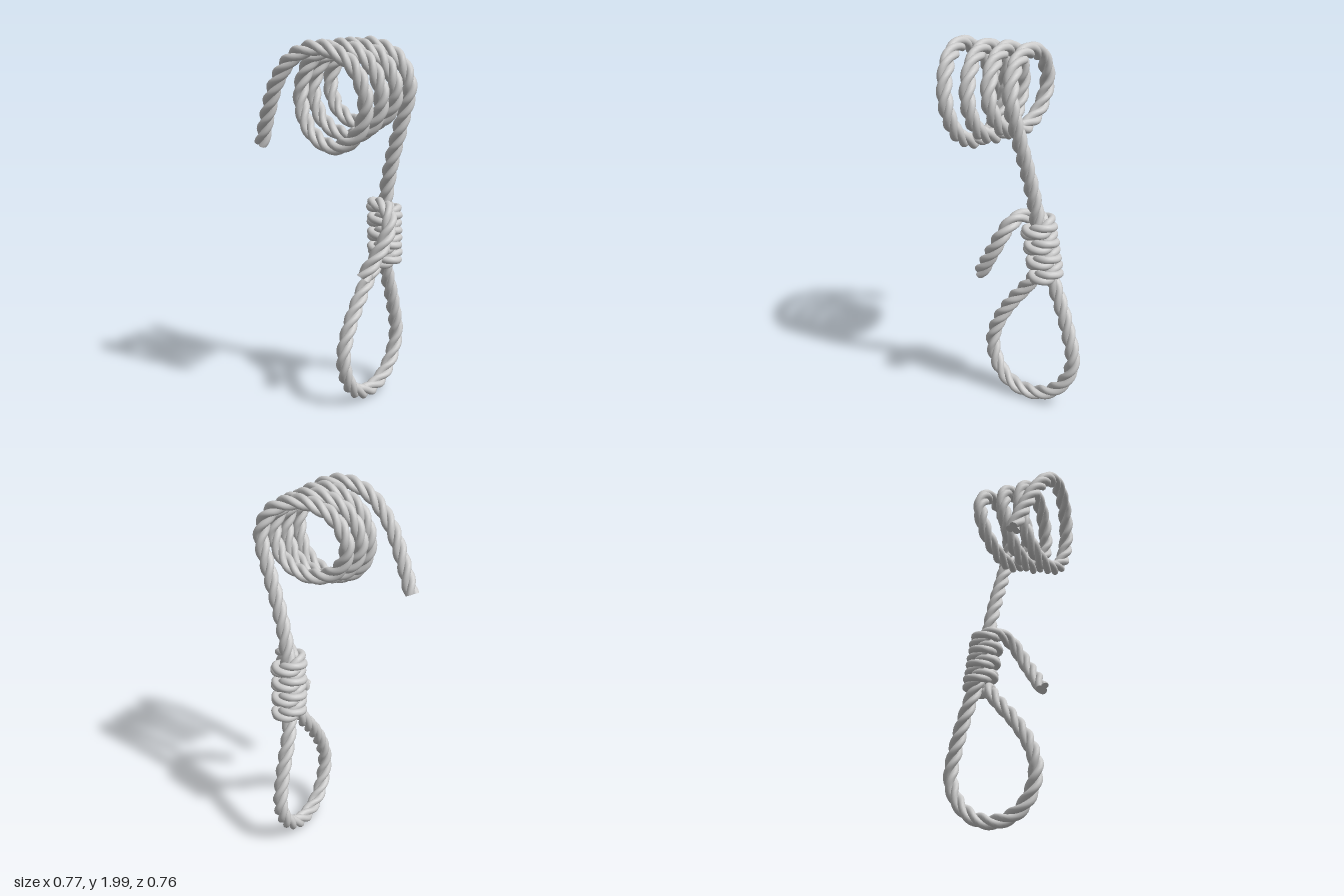
import * as THREE from 'three';

const STRANDS = 3, SIDES = 12, STEPS = 1300;
const STRAND_R = 0.0215, OFFSET = 0.02, PITCH = 0.26;
const lerp = THREE.MathUtils.lerp;
const V = (x, y, z) => new THREE.Vector3(x, y, z);

// Centreline of the whole rope, from the free end of the coil to the short tail at the knot
function ropePath() {
  const pts = [V(-0.35, 1.44, 0.26), V(-0.28, 1.60, 0.29), V(-0.18, 1.78, 0.325), V(-0.05, 1.91, 0.342)];

  // Coil: clockwise from the front, stepping backwards, bottoms rising a little each turn
  const zKeys = [0.335, 0.28, 0.24, 0.20, 0.185, 0.15, 0.12, 0.10, 0.065, 0.03, -0.01, -0.045, -0.06, -0.09];
  for (let i = 0; i <= 26; i++) {
    const a = i * Math.PI / 4, k = Math.floor(i / 2);
    const z = i % 2 ? lerp(zKeys[k], zKeys[k + 1], 0.5) : zKeys[k];
    const bottom = 1.465 + 0.043 * Math.max(0, (i - 4) / 8);
    const mid = (1.957 + bottom) / 2, ry = (1.957 - bottom) / 2;
    pts.push(V(0.105 + 0.234 * Math.sin(a), mid + ry * Math.cos(a), z));
  }

  // Standing part down through the knot, then round the loop
  pts.push(V(0.285, 1.56, -0.105), V(0.225, 1.38, -0.12), V(0.175, 1.18, -0.138), V(0.155, 1.0, -0.155), V(0.13, 0.83, -0.19));
  const loop = [[0.70, -0.235], [0.50, -0.30], [0.30, -0.335], [0.16, -0.28], [0.075, -0.18], [0.05, -0.06],
    [0.09, 0.06], [0.19, 0.135], [0.32, 0.16], [0.45, 0.12], [0.58, 0.04], [0.69, -0.05]];
  for (const [y, z] of loop) pts.push(V(0.115, y, z));

  // Wraps of the knot, climbing around the standing part
  const n = 32;
  for (let i = 0; i <= n; i++) {
    const t = i / n, a = t * 8 * Math.PI, r = 0.062;
    pts.push(V(lerp(0.138, 0.16, t) + r * Math.sin(a), lerp(0.785, 1.12, t), lerp(-0.185, -0.142, t) + r * Math.cos(a)));
  }

  // Short tail hanging forward from the top of the knot
  pts.push(V(0.235, 1.115, -0.05), V(0.285, 1.05, -0.01), V(0.29, 0.96, 0.04), V(0.265, 0.86, 0.105), V(0.235, 0.78, 0.155));
  const curve = new THREE.CatmullRomCurve3(pts, false, 'centripetal');
  curve.arcLengthDivisions = 3000;
  return curve;
}

// One strand: a circle swept beside the centreline and turning steadily about it
function strandGeometry(centres, frames, length, phase) {
  const pos = [], idx = [];
  const addRing = (i) => {
    const N = frames.normals[i], B = frames.binormals[i];
    const a = phase + (i / STEPS) * length / PITCH * 2 * Math.PI;
    for (let j = 0; j < SIDES; j++) {
      const b = a + j / SIDES * 2 * Math.PI;
      const u = OFFSET * Math.cos(a) + STRAND_R * Math.cos(b);
      const v = OFFSET * Math.sin(a) + STRAND_R * Math.sin(b);
      const p = centres[i].clone().addScaledVector(N, u).addScaledVector(B, v);
      pos.push(p.x, p.y, p.z);
    }
  };
  for (let i = 0; i <= STEPS; i++) addRing(i);
  for (let i = 0; i < STEPS; i++) {
    for (let j = 0; j < SIDES; j++) {
      const k = (j + 1) % SIDES, r0 = i * SIDES, r1 = r0 + SIDES;
      idx.push(r0 + j, r0 + k, r1 + j, r0 + k, r1 + k, r1 + j);
    }
  }
  // Flat cut ends
  for (const i of [0, STEPS]) {
    const s = pos.length / 3;
    addRing(i);
    for (let j = 1; j < SIDES - 1; j++) {
      if (i) idx.push(s, s + j, s + j + 1);
      else idx.push(s, s + j + 1, s + j);
    }
  }
  const geo = new THREE.BufferGeometry();
  geo.setAttribute('position', new THREE.Float32BufferAttribute(pos, 3));
  geo.setIndex(idx);
  geo.computeVertexNormals();
  return geo;
}

export function createModel() {
  const group = new THREE.Group();
  group.name = 'twistedRope';
  const material = new THREE.MeshStandardMaterial({ color: 0xcccccc });
  const path = ropePath();
  const frames = path.computeFrenetFrames(STEPS, false);
  const centres = path.getSpacedPoints(STEPS);
  const length = path.getLength();
  for (let s = 0; s < STRANDS; s++) {
    const strand = new THREE.Mesh(strandGeometry(centres, frames, length, s / STRANDS * 2 * Math.PI), material);
    strand.name = `ropeStrand${s + 1}`;
    group.add(strand);
  }
  return group;
}
